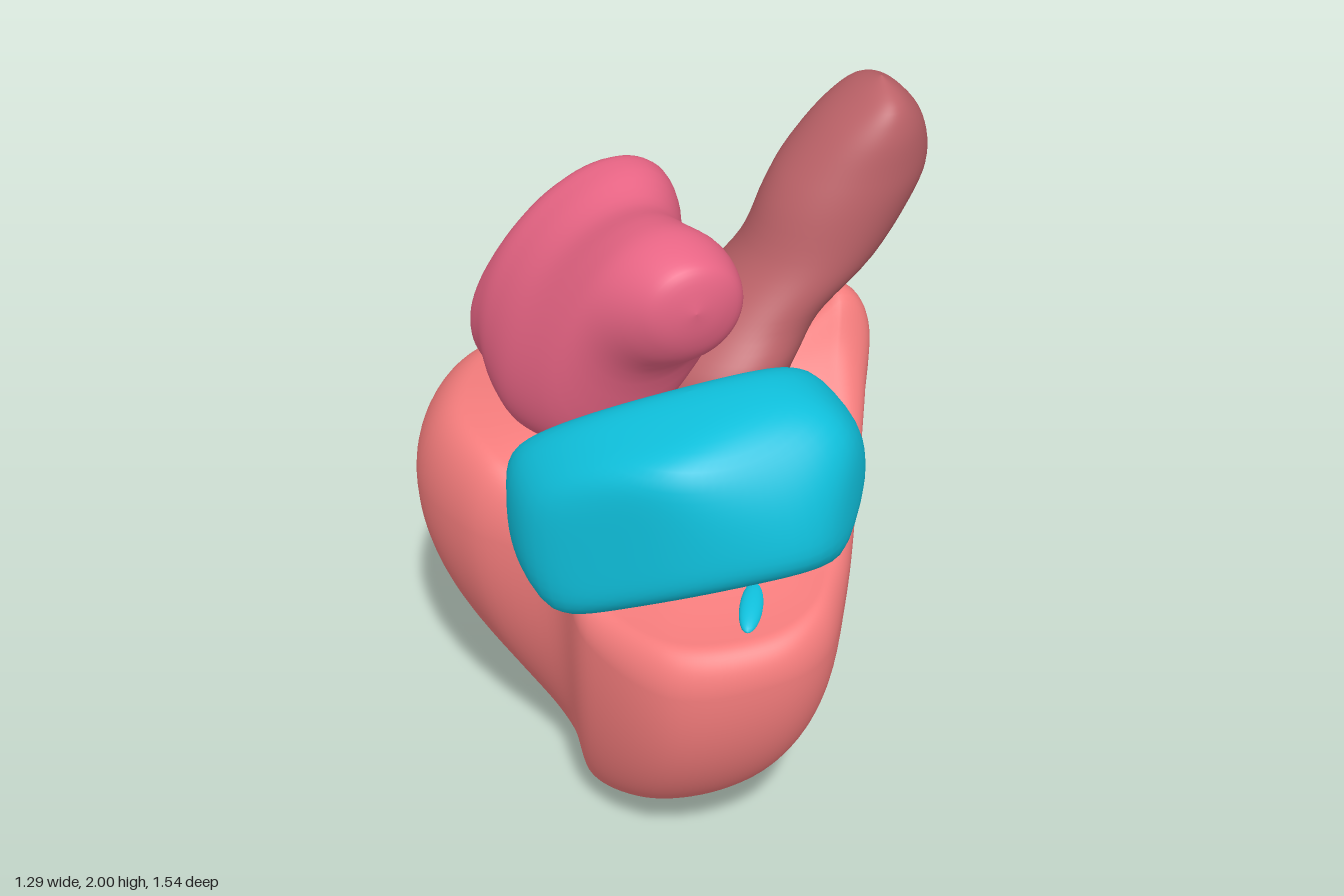
import * as THREE from 'three';

// Catmull-Rom interpolation between rows of numbers, t in 0..1
function blend(rows, t, closed) {
  const n = rows.length, spans = closed ? n : n - 1;
  const s = t * spans, i = Math.min(Math.floor(s), spans - 1), f = s - i;
  const at = k => rows[closed ? (k + n) % n : Math.max(0, Math.min(n - 1, k))];
  const [a, b, c, d] = [at(i - 1), at(i), at(i + 1), at(i + 2)];
  return b.map((p, k) => p + 0.5 * f * (c[k] - a[k]
    + f * (2 * a[k] - 5 * p + 4 * c[k] - d[k] + f * (3 * (p - c[k]) + d[k] - a[k]))));
}

// Smooth surface closed around u, running along v; point(u, v) returns [x, y, z]
function surface(name, color, point, nu = 72, nv = 48) {
  const pos = [], index = [];
  for (let j = 0; j <= nv; j++)
    for (let i = 0; i < nu; i++) pos.push(...point(i / nu, j / nv));
  for (let j = 0; j < nv; j++)
    for (let i = 0; i < nu; i++) {
      const a = j * nu + i, b = j * nu + (i + 1) % nu;
      index.push(a, b, b + nu, a, b + nu, a + nu);
    }
  const geo = new THREE.BufferGeometry();
  geo.setAttribute('position', new THREE.Float32BufferAttribute(pos, 3));
  geo.setIndex(index);
  geo.computeVertexNormals();
  const mesh = new THREE.Mesh(geo, new THREE.MeshStandardMaterial({ color }));
  mesh.name = name;
  return mesh;
}

// Elliptical sections: horizontal [x, y, z, rx, rz], or facing z [x, y, z, rx, ry, lean]
function loft(name, color, stations, horizontal) {
  return surface(name, color, (u, v) => {
    const [x, y, z, r1, r2, lean] = blend(stations, v, false);
    const a = u * Math.PI * 2, c = Math.cos(a), s = Math.sin(a);
    const p = Math.max(r1, 0), q = Math.max(r2, 0);
    return horizontal ? [x + p * s, y, z + q * c] : [x + p * c + lean * s, y + q * s, z];
  });
}

// Rounded convex lump bounded by planes [nx, ny, nz, distance] around a centre
function lump(name, color, centre, planes, p, grow) {
  const list = planes.map(([x, y, z, h]) => [new THREE.Vector3(x, y, z).normalize(), h * grow]);
  return surface(name, color, (u, v) => {
    const a = u * Math.PI * 2, b = (v - 0.5) * Math.PI;
    const d = new THREE.Vector3(Math.sin(a) * Math.cos(b), Math.sin(b), Math.cos(a) * Math.cos(b));
    let sum = 0;
    for (const [n, h] of list) sum += Math.max(0, d.dot(n) / h) ** p;
    const r = sum ** (-1 / p);
    return [centre[0] + d.x * r, centre[1] + d.y * r, centre[2] + d.z * r];
  });
}

function ellipsoid(name, color, position, scale, tilt) {
  const mesh = new THREE.Mesh(new THREE.SphereGeometry(1, 24, 16),
    new THREE.MeshStandardMaterial({ color }));
  mesh.name = name;
  mesh.position.set(...position);
  mesh.scale.set(...scale);
  mesh.rotation.set(...tilt);
  return mesh;
}

// Main body: outline going round as [x, z, height of widest point, rim height, taper]
const OUTLINE = [
  [-0.05, 0.62, 0.78, 0.89, 1.25], [0.12, 0.58, 0.8, 0.92, 1.45], [0.24, 0.42, 0.87, 0.95, 2.1],
  [0.37, 0.18, 0.96, 1.02, 2.9], [0.47, -0.01, 1.14, 1.23, 3.2], [0.52, -0.12, 1.25, 1.38, 3.3],
  [0.49, -0.27, 1.2, 1.32, 3.0], [0.33, -0.32, 1.0, 1.13, 2.3], [0.22, -0.48, 0.85, 1.12, 1.7],
  [0.09, -0.67, 0.8, 1.12, 1.3], [-0.25, -0.78, 0.78, 1.1, 1.1], [-0.5, -0.66, 0.8, 1.12, 1.6],
  [-0.64, -0.38, 0.88, 1.13, 2.9], [-0.59, -0.1, 0.9, 1.1, 2.7], [-0.43, 0.09, 0.88, 1.0, 1.4],
  [-0.41, 0.3, 0.78, 0.88, 1.0], [-0.28, 0.54, 0.75, 0.87, 1.2],
];
const keelEdge = (x, z) => [-0.164 + 0.18 * x, 0.025, -0.24 + 0.2 * z];

function bodyPoint(u, v) {
  const [x, z, yWide, yRim, taper] = blend(OUTLINE, u, true);
  const top = [0, 1.13, -0.12], mix = THREE.MathUtils.lerp;
  if (v <= 0.55) { // bulging wall, from the blunt keel to the widest point
    const a = v / 0.55 * Math.PI / 2, r = Math.sin(a) ** taper, [kx, ky, kz] = keelEdge(x, z);
    return [mix(kx, x, r), ky * (1 - Math.sin(a)) + yWide * (1 - Math.cos(a)), mix(kz, z, r)];
  }
  const inset = 0.16 - 0.1 * z;
  if (v <= 0.75) { // rounded rim, softer towards the back
    const a = (v - 0.55) / 0.2 * Math.PI / 2, k = inset * (1 - Math.cos(a));
    return [mix(x, top[0], k), mix(yWide, yRim, Math.sin(a)), mix(z, top[2], k)];
  }
  // dished upper face
  const t = (v - 0.75) / 0.25, k = inset + (1 - inset) * t;
  const rise = yRim < top[1] ? t ** 1.6 : 1 - (1 - t) ** 1.6;
  return [mix(x, top[0], k), mix(yRim, top[1], rise), mix(z, top[2], k)];
}

// Shallow rounded underside, closing the keel
function keelPoint(u, v) {
  const [x, z] = blend(OUTLINE, u, true), [kx, ky, kz] = keelEdge(x, z);
  return [-0.2 + (kx + 0.2) * v, ky * v ** 3, -0.25 + (kz + 0.25) * v];
}

export function createModel() {
  const group = new THREE.Group();
  group.name = 'heart';

  group.add(surface('ventricles', 0xf47c7c, bodyPoint, 136, 80));
  group.add(surface('keel', 0xf47c7c, keelPoint, 136, 8));

  // Slanting vessel rising from the upper face
  group.add(loft('aorta', 0xbc6268, [
    [0.08, 1.14, -0.12, 0, 0], [0.08, 1.17, -0.12, 0.13, 0.16], [0.08, 1.23, -0.12, 0.18, 0.22],
    [0.115, 1.32, -0.12, 0.19, 0.225], [0.205, 1.42, -0.12, 0.17, 0.185],
    [0.34, 1.55, -0.115, 0.178, 0.175], [0.42, 1.7, -0.11, 0.195, 0.17],
    [0.46, 1.79, -0.11, 0.182, 0.165], [0.49, 1.89, -0.1, 0.128, 0.145],
    [0.505, 1.96, -0.09, 0.06, 0.1], [0.51, 2.0, -0.08, 0, 0],
  ], true));

  // Two-lobed chamber at the back, running forward
  group.add(loft('rearAtrium', 0xe96585, [
    [-0.23, 1.29, -0.58, 0, 0, 0], [-0.23, 1.29, -0.565, 0.13, 0.13, 0.02],
    [-0.22, 1.32, -0.5, 0.21, 0.22, 0.06], [-0.19, 1.41, -0.4, 0.24, 0.31, 0.1],
    [-0.195, 1.42, -0.3, 0.235, 0.33, 0.12], [-0.21, 1.41, -0.16, 0.22, 0.315, 0.1],
    [-0.18, 1.46, -0.01, 0.21, 0.31, 0.06], [-0.13, 1.59, 0.1, 0.185, 0.2, 0.02],
    [-0.1, 1.63, 0.2, 0.14, 0.14, 0], [-0.1, 1.65, 0.24, 0.085, 0.085, 0],
    [-0.1, 1.65, 0.257, 0, 0, 0],
  ], false));

  // Angular chamber overhanging the front
  group.add(lump('frontAtrium', 0x0fc0dc, [-0.18, 1.25, 0.42], [
    [-1, 0, 0, 0.39], [1, 0, 0, 0.39], [0, 1, 0, 0.32], [0, -1, 0, 0.315],
    [0, 0, 1, 0.37], [0, 0, -1, 0.35], [-0.3, 1, 0, 0.295],
    [1, -1, 0, 0.25], [-1, 1, 0, 0.34], [1, 1, 0, 0.4], [-1, -1, 0, 0.41],
    [0, 1, 1, 0.36], [0, -0.81, 0.58, 0.21], [0, 0.3, 0.95, 0.35],
    [0, 1, -1, 0.23], [0, -1, -1, 0.39], [-0.35, 0, 1, 0.295],
    [-1, 0, 1, 0.275], [1, 0, -1, 0.28], [1, 0, 1, 0.38], [-1, 0, -1, 0.43],
  ], 12, 1.06));

  // Small details: valve patch on the upper face and the loose vessel end
  group.add(ellipsoid('valvePatch', 0x0fc0dc, [-0.03, 0.9, 0.45], [0.03, 0.02, 0.09], [0.15, -0.5, 0]));
  group.add(ellipsoid('sideVessel', 0x1f80c0, [0.485, 1.4, -0.255], [0.034, 0.085, 0.055], [0, 0, -0.6]));

  return group;
}
